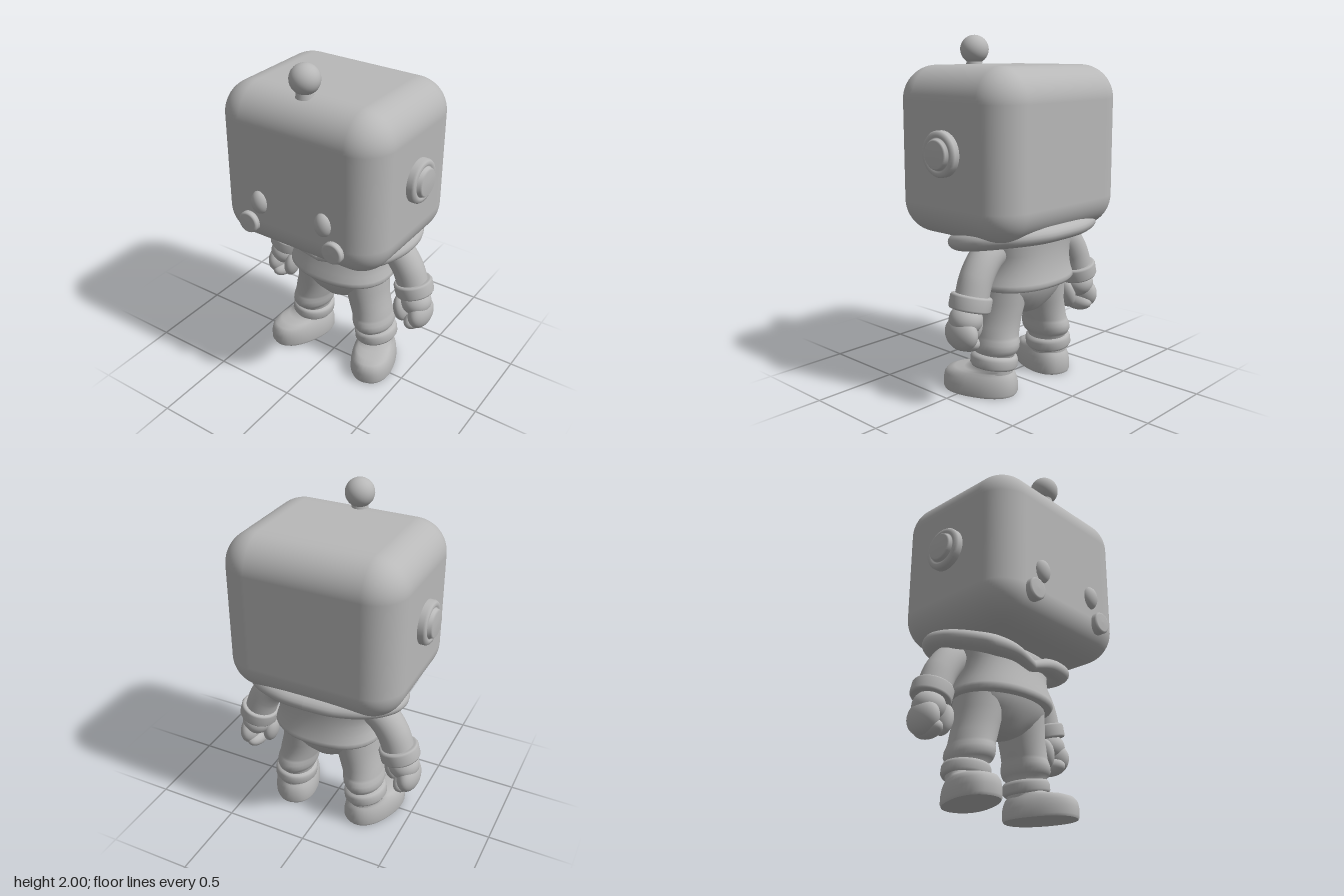
import * as THREE from 'three';
import { RoundedBoxGeometry } from 'three/addons/geometries/RoundedBoxGeometry.js';
import { ParametricGeometry } from 'three/addons/geometries/ParametricGeometry.js';

// Stacked elliptical rings [y, cx, cz, rx, rz], listed bottom to top
function loft(rings, power = 1, n = 40) {
  const pos = [], idx = [];
  const round = (v) => Math.sign(v) * Math.abs(v) ** power;
  for (const [y, cx, cz, rx, rz] of rings) {
    for (let i = 0; i < n; i++) {
      const a = (i / n) * Math.PI * 2;
      pos.push(cx + rx * round(Math.cos(a)), y, cz + rz * round(Math.sin(a)));
    }
  }
  for (let r = 0; r < rings.length - 1; r++) {
    for (let i = 0; i < n; i++) {
      const j = (i + 1) % n, a = r * n + i, b = r * n + j;
      idx.push(a, a + n, b, b, a + n, b + n);
    }
  }
  const g = new THREE.BufferGeometry();
  g.setAttribute('position', new THREE.Float32BufferAttribute(pos, 3));
  g.setIndex(idx);
  g.computeVertexNormals();
  return g;
}

const lathe = (points, n = 40) =>
  new THREE.LatheGeometry(points.map(([r, h]) => new THREE.Vector2(r, h)), n);

const path = (points) => new THREE.CatmullRomCurve3(points.map((p) => new THREE.Vector3(...p)));

export function createModel() {
  const grey = new THREE.MeshStandardMaterial({ color: 0xb8b8b8 });
  grey.name = 'grey';
  const model = new THREE.Group();
  model.name = 'boxHeadFigure';

  function add(name, geometry, x = 0, y = 0, z = 0, parent = model) {
    const mesh = new THREE.Mesh(geometry, grey);
    mesh.name = name;
    mesh.position.set(x, y, z);
    parent.add(mesh);
    return mesh;
  }
  function ball(name, x, y, z, rx, ry, rz, parent = model) {
    const mesh = add(name, new THREE.SphereGeometry(1, 32, 24), x, y, z, parent);
    mesh.scale.set(rx, ry, rz);
    return mesh;
  }

  // Head and antenna
  add('head', new RoundedBoxGeometry(1.04, 0.935, 0.86, 10, 0.19), 0, 1.3675, -0.02);
  add('antennaStem', new THREE.CylinderGeometry(0.04, 0.05, 0.06, 32), 0, 1.85, 0.26);
  ball('antennaBall', 0, 1.918, 0.258, 0.083, 0.082, 0.083);

  // Jacket body with a rolled hem
  add('jacket', loft([
    [0.61, 0, -0.105, 0, 0],
    [0.607, 0, -0.105, 0.29, 0.22],
    [0.612, 0, -0.105, 0.32, 0.25],
    [0.63, 0, -0.105, 0.332, 0.262],
    [0.65, 0, -0.105, 0.327, 0.258],
    [0.69, 0, -0.105, 0.315, 0.246],
    [0.75, 0, -0.11, 0.305, 0.234],
    [0.81, 0, -0.115, 0.315, 0.226],
    [0.86, 0, -0.12, 0.34, 0.225],
    [0.92, 0, -0.12, 0.36, 0.23],
    [0.93, 0, -0.12, 0, 0],
  ], 0.88));

  // Hips
  add('hips', loft([
    [0.425, 0, -0.1, 0, 0],
    [0.432, 0, -0.1, 0.07, 0.08],
    [0.45, 0, -0.1, 0.12, 0.12],
    [0.49, 0, -0.1, 0.2, 0.155],
    [0.54, 0, -0.1, 0.265, 0.185],
    [0.59, 0, -0.1, 0.295, 0.21],
    [0.64, 0, -0.1, 0.3, 0.22],
  ]));

  const half = path([
    [0, 0.795, 0.145], [0.13, 0.84, 0.135], [0.28, 0.855, 0.09], [0.385, 0.89, -0.05],
    [0.395, 0.92, -0.2], [0.3, 0.94, -0.325], [0.14, 0.94, -0.375], [0, 0.94, -0.38],
  ]);

  for (const s of [1, -1]) {
    const side = new THREE.Group();
    side.name = s > 0 ? 'leftSide' : 'rightSide';
    model.add(side);

    // Face
    ball('eye', s * 0.21, 1.21, 0.405, 0.052, 0.07, 0.045, side);
    const cheek = add('cheek', lathe([
      [0.063, 0], [0.063, 0.05], [0.058, 0.058], [0.05, 0.06], [0, 0.062],
    ]), s * 0.28, 1.07, 0.382, side);
    cheek.rotation.x = Math.PI / 2;

    // Stepped ear disc
    const ear = add('ear', lathe([
      [0.124, -0.03], [0.124, 0.03], [0.116, 0.042], [0.1, 0.046], [0.09, 0.042],
      [0.084, 0.04], [0.08, 0.058], [0.072, 0.066], [0, 0.067],
    ]), s * 0.52, 1.38, -0.022, side);
    ear.rotation.z = -s * Math.PI / 2;

    // Half of the collar, narrowing to a V at the front
    add('collar', new ParametricGeometry((u, v, out) => {
      const p = half.getPoint(u);
      const d = new THREE.Vector3(p.x, 0, p.z + 0.12).normalize();
      const a = s * v * Math.PI * 2;
      const grow = Math.min(1, u / 0.25);
      const r = 0.035 + 0.043 * grow, h = 0.032 + 0.022 * grow;
      out.set(
        s * (p.x + (u > 0 && u < 1 ? d.x * r * Math.cos(a) : 0)),
        p.y + h * Math.sin(a),
        p.z + d.z * r * Math.cos(a));
    }, 48, 20), 0, 0, 0, side);

    // Sleeve and its cuff
    add('sleeve', new THREE.TubeGeometry(path([
      [s * 0.22, 0.87, -0.155], [s * 0.34, 0.805, -0.155],
      [s * 0.415, 0.71, -0.157], [s * 0.46, 0.59, -0.16],
    ]), 24, 0.094, 28), 0, 0, 0, side);
    const cuff = add('sleeveCuff', lathe([
      [0, -0.042], [0.1, -0.043], [0.11, -0.04], [0.116, -0.03], [0.116, 0.03],
      [0.11, 0.04], [0.1, 0.043], [0, 0.042],
    ]), s * 0.463, 0.585, -0.16, side);
    cuff.rotation.z = s * 0.26;

    // Curled mitten hand
    const hand = new THREE.Group();
    hand.name = 'hand';
    side.add(hand);
    ball('palm', s * 0.49, 0.495, -0.15, 0.09, 0.085, 0.095, hand);
    ball('fingers', s * 0.525, 0.425, -0.15, 0.064, 0.095, 0.11, hand);
    ball('fingerTips', s * 0.494, 0.372, -0.145, 0.058, 0.053, 0.1, hand).rotation.z = s * 0.4;
    ball('thumb', s * 0.41, 0.435, -0.12, 0.045, 0.09, 0.065, hand).rotation.z = s * 0.18;

    // Trouser leg with a soft fold above the ankle
    add('leg', loft([
      [0.1, s * 0.238, -0.118, 0.1, 0.115],
      [0.2, s * 0.235, -0.118, 0.105, 0.12],
      [0.235, s * 0.23, -0.115, 0.1, 0.125],
      [0.25, s * 0.228, -0.112, 0.112, 0.145],
      [0.275, s * 0.227, -0.11, 0.12, 0.158],
      [0.305, s * 0.222, -0.11, 0.12, 0.158],
      [0.33, s * 0.217, -0.108, 0.117, 0.148],
      [0.345, s * 0.213, -0.107, 0.118, 0.143],
      [0.4, s * 0.2, -0.105, 0.122, 0.142],
      [0.46, s * 0.185, -0.105, 0.122, 0.145],
      [0.53, s * 0.172, -0.105, 0.13, 0.155],
      [0.63, s * 0.16, -0.105, 0.135, 0.165],
    ]), 0, 0, 0, side);
    const legCuff = add('legCuff', loft([
      [-0.04, 0, 0, 0.1, 0.115],
      [-0.037, 0, 0, 0.118, 0.132],
      [-0.022, 0, 0, 0.128, 0.142],
      [0.015, 0, 0, 0.127, 0.142],
      [0.033, 0, 0, 0.12, 0.135],
      [0.04, 0, 0, 0.1, 0.115],
    ]), s * 0.238, 0.19, -0.118, side);
    legCuff.rotation.z = s * 0.12;

    // Boot turned outward, with a flat sole
    const boot = add('boot', loft([
      [0, 0, 0, 0, 0],
      [0, 0, 0, 0.13, 0.215],
      [0, 0, 0, 0.13, 0.215],
      [0.015, 0, 0, 0.136, 0.222],
      [0.06, 0, 0, 0.134, 0.222],
      [0.095, 0, 0, 0.128, 0.215],
      [0.12, 0, -0.005, 0.118, 0.2],
      [0.135, 0, -0.02, 0.11, 0.172],
      [0.143, 0, -0.05, 0.106, 0.14],
      [0.16, 0, -0.075, 0.104, 0.118],
      [0.19, 0, -0.08, 0.1, 0.112],
    ], 0.88), s * 0.272, 0, -0.043, side);
    boot.rotation.y = s * 0.35;
  }
  return model;
}
